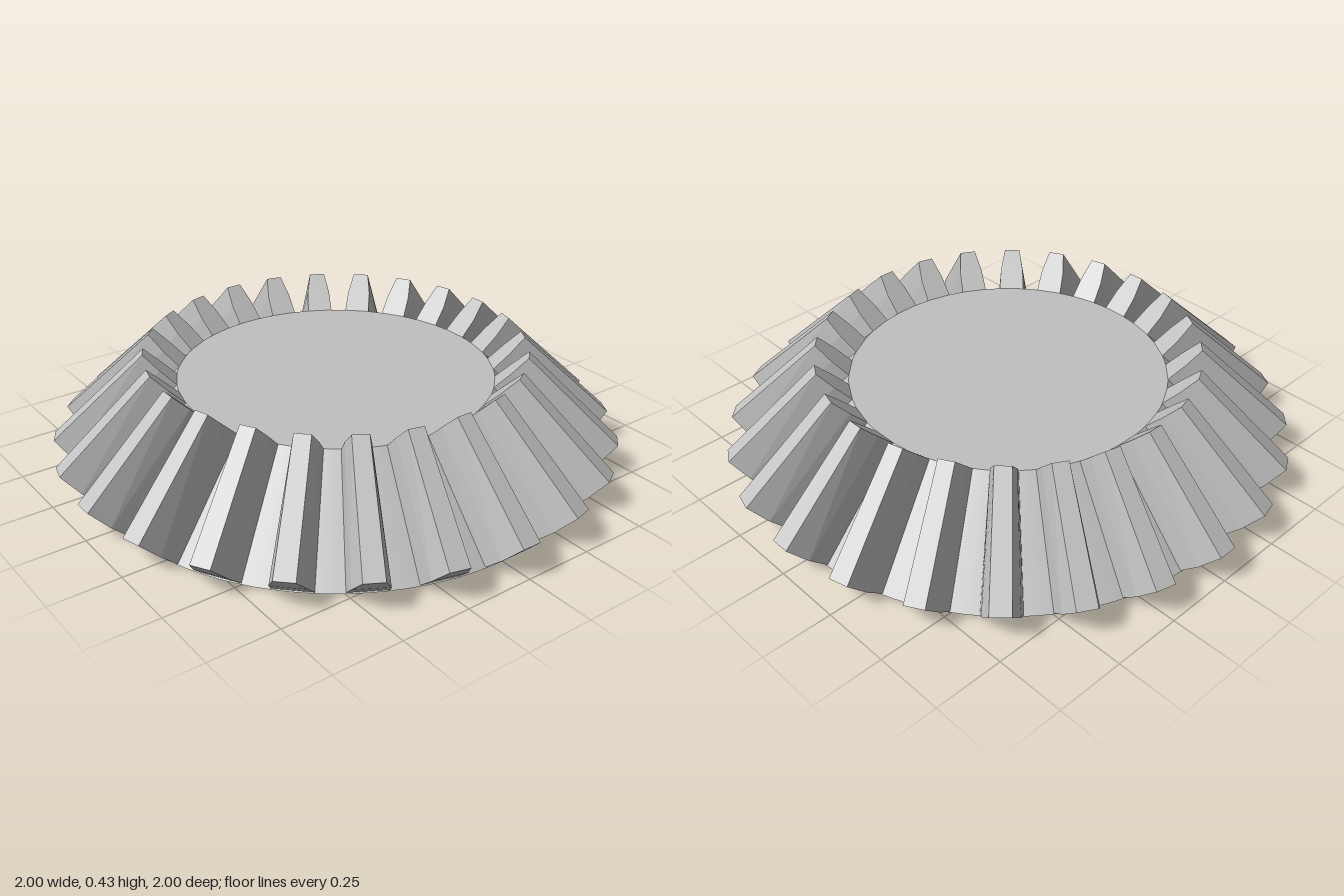
import * as THREE from 'three';
import { ConvexGeometry } from 'three/addons/geometries/ConvexGeometry.js';

const TEETH = 24;

// Tooth sections as [radius, height, half width], from root to tip
const OUTER_END = [[0.873, 0.001, 0.068], [0.935, 0.055, 0.061], [0.999, 0.12, 0.035]];
const INNER_END = [[0.553, 0.315, 0.046], [0.615, 0.375, 0.042], [0.67, 0.43, 0.028]];

function toothGeometry() {
  const points = [];
  for (const [r, y, w] of [...OUTER_END, ...INNER_END]) {
    points.push(new THREE.Vector3(r, y, w), new THREE.Vector3(r, y, -w));
  }
  return new ConvexGeometry(points);
}

export function createModel() {
  const steel = new THREE.MeshStandardMaterial({ color: 0xc0c0c0 });
  steel.name = 'steel';
  const gear = new THREE.Group();
  gear.name = 'bevelGear';

  // Conical blank that carries the teeth
  const blank = new THREE.Mesh(new THREE.CylinderGeometry(0.56, 0.88, 0.32, 96), steel);
  blank.name = 'gearBlank';
  blank.position.y = 0.16;
  gear.add(blank);

  // Ring of tapered teeth
  const geometry = toothGeometry();
  const teeth = new THREE.Group();
  teeth.name = 'teeth';
  for (let i = 0; i < TEETH; i++) {
    const tooth = new THREE.Mesh(geometry, steel);
    tooth.name = `tooth${i + 1}`;
    tooth.rotation.y = (i / TEETH) * Math.PI * 2;
    teeth.add(tooth);
  }
  gear.add(teeth);
  return gear;
}
